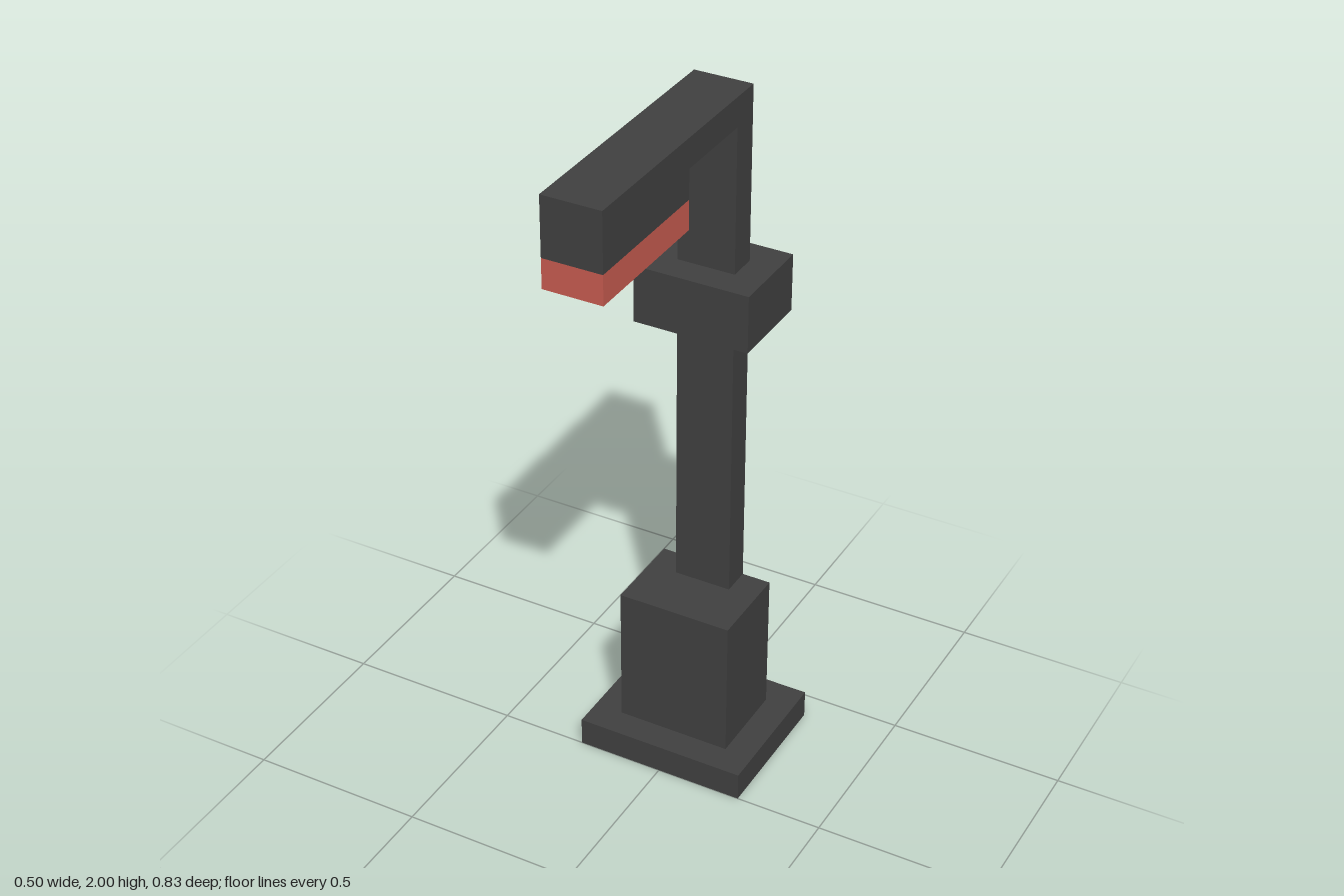
import * as THREE from 'three';

const U = 1 / 12; // every size is a multiple of this block unit

export function createModel() {
  const group = new THREE.Group();
  const darkIron = new THREE.MeshStandardMaterial({ name: 'darkIron', color: 0x414141 });
  const redLamp = new THREE.MeshStandardMaterial({ name: 'redLamp', color: 0xca5d51 });

  const add = (name, geometry, material) => {
    const mesh = new THREE.Mesh(geometry, material);
    mesh.name = name;
    group.add(mesh);
  };

  // Box centred on x, given half width and y and z ranges in block units
  const block = (name, halfWidth, [y0, y1], [z0, z1], material) => {
    const geometry = new THREE.BoxGeometry(2 * halfWidth * U, (y1 - y0) * U, (z1 - z0) * U);
    geometry.translate(0, (y0 + y1) / 2 * U, (z0 + z1) / 2 * U);
    add(name, geometry, material);
  };

  block('basePlate', 3, [0, 1], [-5, 0], darkIron);
  block('pedestal', 2, [1, 6], [-4, -1], darkIron);
  block('collar', 2, [16, 18], [-5, -2], darkIron);

  // Post, arm and lamp housing share one side profile (z, y), extruded across x
  const profile = new THREE.Shape(
    [[-4, 6], [-3, 6], [-3, 23], [0, 23], [0, 22], [5, 22], [5, 24], [-4, 24]]
      .map(([z, y]) => new THREE.Vector2(z * U, y * U)));
  const postAndArm = new THREE.ExtrudeGeometry(profile, { depth: 2 * U, bevelEnabled: false });
  postAndArm.translate(0, 0, -U).rotateY(-Math.PI / 2);
  add('postAndArm', postAndArm, darkIron);

  // Lamp under the housing
  block('lamp', 1, [21, 22], [0, 5], redLamp);

  return group;
}
